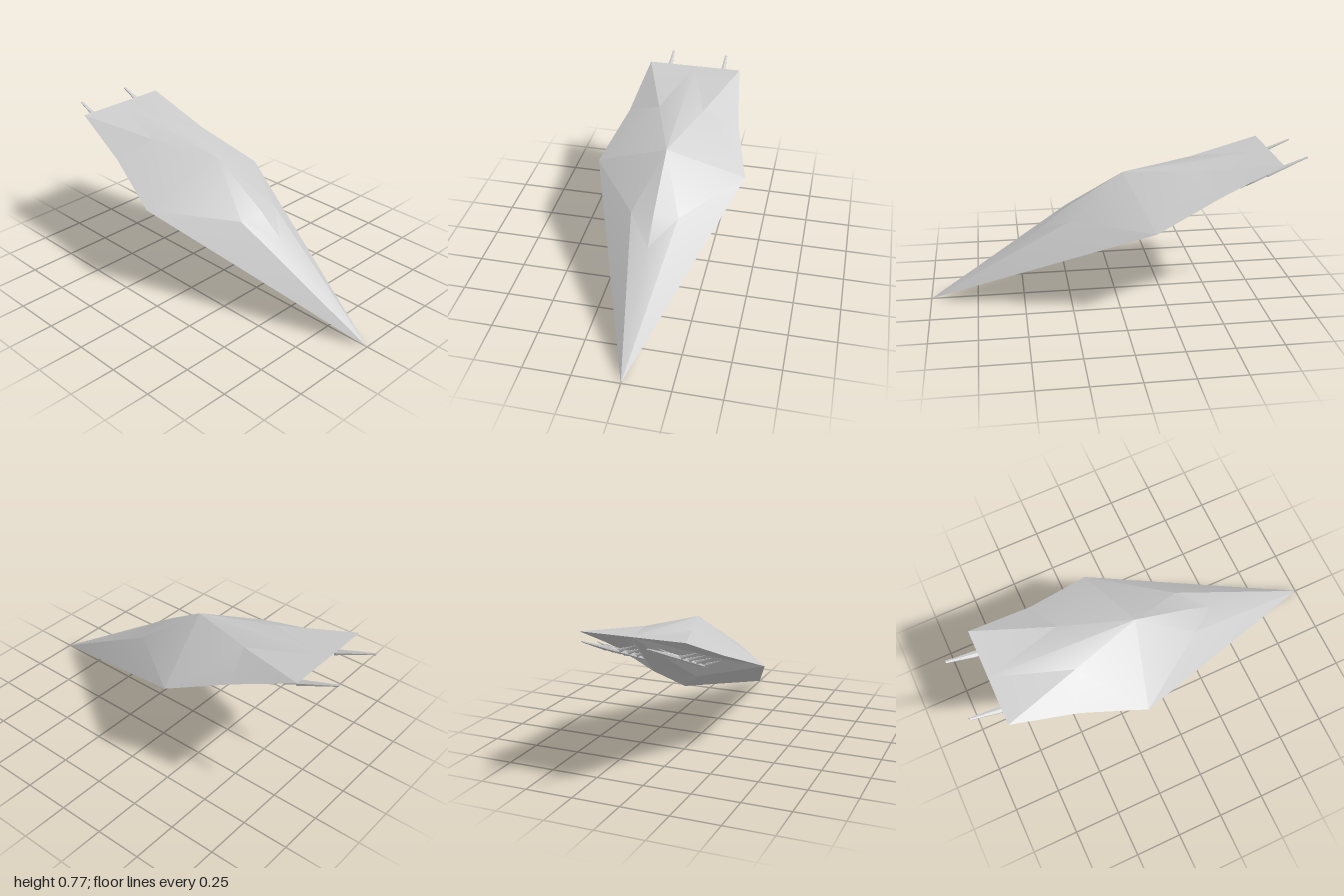
import * as THREE from 'three';
import { toCreasedNormals } from 'three/addons/utils/BufferGeometryUtils.js';

const grey = () => new THREE.MeshStandardMaterial({ color: 0xcccccc, side: THREE.DoubleSide });

// Corner points of the hull's left half
const P = {
  nose: [0, 0, 1], canopyFront: [0, 0.37, 0.41], canopyTop: [0, 0.485, 0.27],
  canopySide: [0.125, 0.46, 0.25], apex: [0, 0.677, -0.045], wing: [0.41, 0.48, -0.16],
  deck: [0.125, 0.705, -0.43], flank: [0.315, 0.62, -0.5], corner: [0.265, 0.765, -0.84],
  tail: [0, 0.765, -0.84], keel: [0, 0.345, -0.23], step: [0.117, 0.45, -0.36],
  stepMid: [0, 0.45, -0.36], recess: [0.22, 0.56, -0.36],
};
const upper = [
  'apex canopyTop canopySide', 'canopyTop canopyFront canopySide', 'canopyFront nose canopySide',
  'canopySide nose wing', 'apex canopySide wing', 'apex wing deck', 'deck wing flank',
  'deck flank corner', 'apex deck tail', 'deck corner tail',
];
const lower = [
  'nose keel wing', 'keel step wing', 'keel stepMid step', 'stepMid tail step',
  'step recess wing', 'step tail recess', 'recess tail corner', 'recess corner flank',
  'recess flank wing',
];

// Facets for one half, plus their mirror image with reversed winding
function shell(name, faces) {
  const pos = [];
  for (const face of faces) {
    const tri = face.split(' ').map((k) => P[k]);
    tri.forEach((p) => pos.push(...p));
    [...tri].reverse().forEach(([x, y, z]) => pos.push(-x, y, z));
  }
  const geo = new THREE.BufferGeometry();
  geo.setAttribute('position', new THREE.Float32BufferAttribute(pos, 3));
  const mesh = new THREE.Mesh(toCreasedNormals(geo, 0.4), grey());
  mesh.name = name;
  return mesh;
}

// Tapered six-sided bar between two points
function bar(name, a, b, r0, r1, flat = 1) {
  const dir = b.clone().sub(a);
  const geo = new THREE.CylinderGeometry(r1, r0, dir.length(), 6).toNonIndexed();
  geo.scale(1, 1, flat);
  geo.computeVertexNormals();
  const mesh = new THREE.Mesh(geo, grey());
  mesh.position.copy(a).add(b).multiplyScalar(0.5);
  mesh.quaternion.setFromUnitVectors(new THREE.Vector3(0, 1, 0), dir.normalize());
  mesh.name = name;
  return mesh;
}

// Segmented spine with pairs of swept spikes
function createSpine(x) {
  const g = new THREE.Group();
  const start = new THREE.Vector3(x, 0.505, -0.35);
  const end = new THREE.Vector3(x, 0.768, -1);
  const at = (t) => start.clone().lerp(end, t);
  const n = 9;
  for (let i = 0; i < n; i++) {
    const r = i < 7 ? 0.017 + 0.0015 * i : 0.026 - 0.007 * (i - 6);
    g.add(bar('spineSegment', at(i / n), at((i + 1) / n), r, r * 0.68, 0.45));
  }
  for (const t of [0.04, 0.22, 0.36, 0.5]) {
    for (const s of [-1, 1]) {
      const root = at(t);
      const tip = root.clone().add(new THREE.Vector3(s * 0.1, 0.04, -0.01));
      g.add(bar('spike', root, tip, 0.013, 0.001, 0.6));
    }
  }
  return g;
}

export function createModel() {
  const model = new THREE.Group();
  model.name = 'model';
  model.add(shell('upperHull', upper), shell('lowerHull', lower));
  for (const s of [1, -1]) {
    const spine = createSpine(0.16 * s);
    spine.name = s > 0 ? 'leftSpine' : 'rightSpine';
    model.add(spine);
  }
  return model;
}
